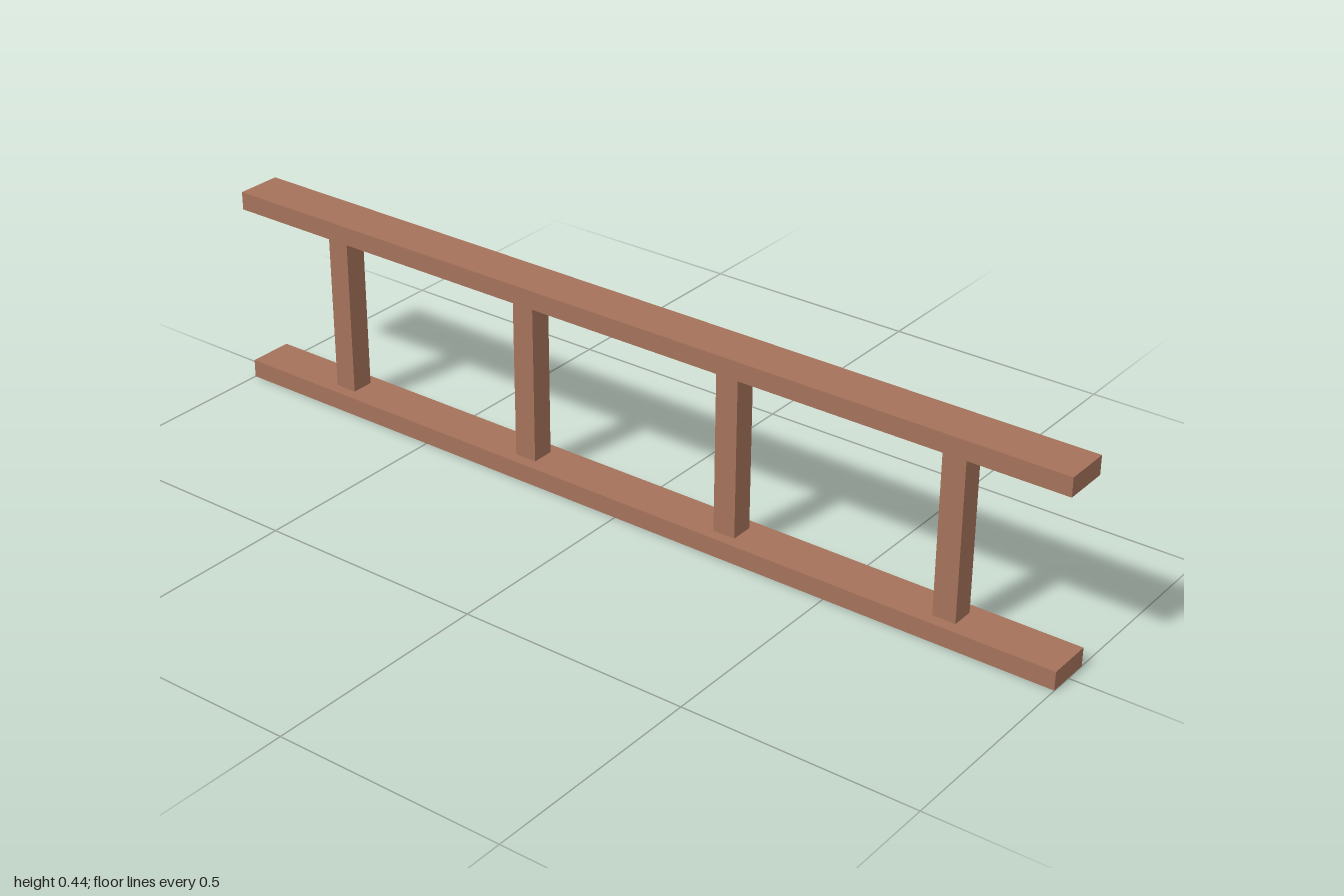
import * as THREE from 'three';

export function createModel() {
  const model = new THREE.Group();
  model.name = 'railing';
  const wood = new THREE.MeshStandardMaterial({ color: 0xa5725a });
  wood.name = 'brown wood';

  // Box standing on height y
  function addBeam(name, width, height, depth, y, z) {
    const mesh = new THREE.Mesh(new THREE.BoxGeometry(width, height, depth), wood);
    mesh.name = name;
    mesh.position.set(0, y + height / 2, z);
    model.add(mesh);
  }

  // Long horizontal rails
  addBeam('bottomRail', 0.1, 0.04, 2, 0, 0);
  addBeam('topRail', 0.1, 0.04, 2, 0.4, 0);

  // Evenly spaced square posts between the rails
  for (let i = 0; i < 4; i++) {
    addBeam(`post${i + 1}`, 0.05, 0.36, 0.05, 0.04, 0.75 - i * 0.5);
  }

  return model;
}
